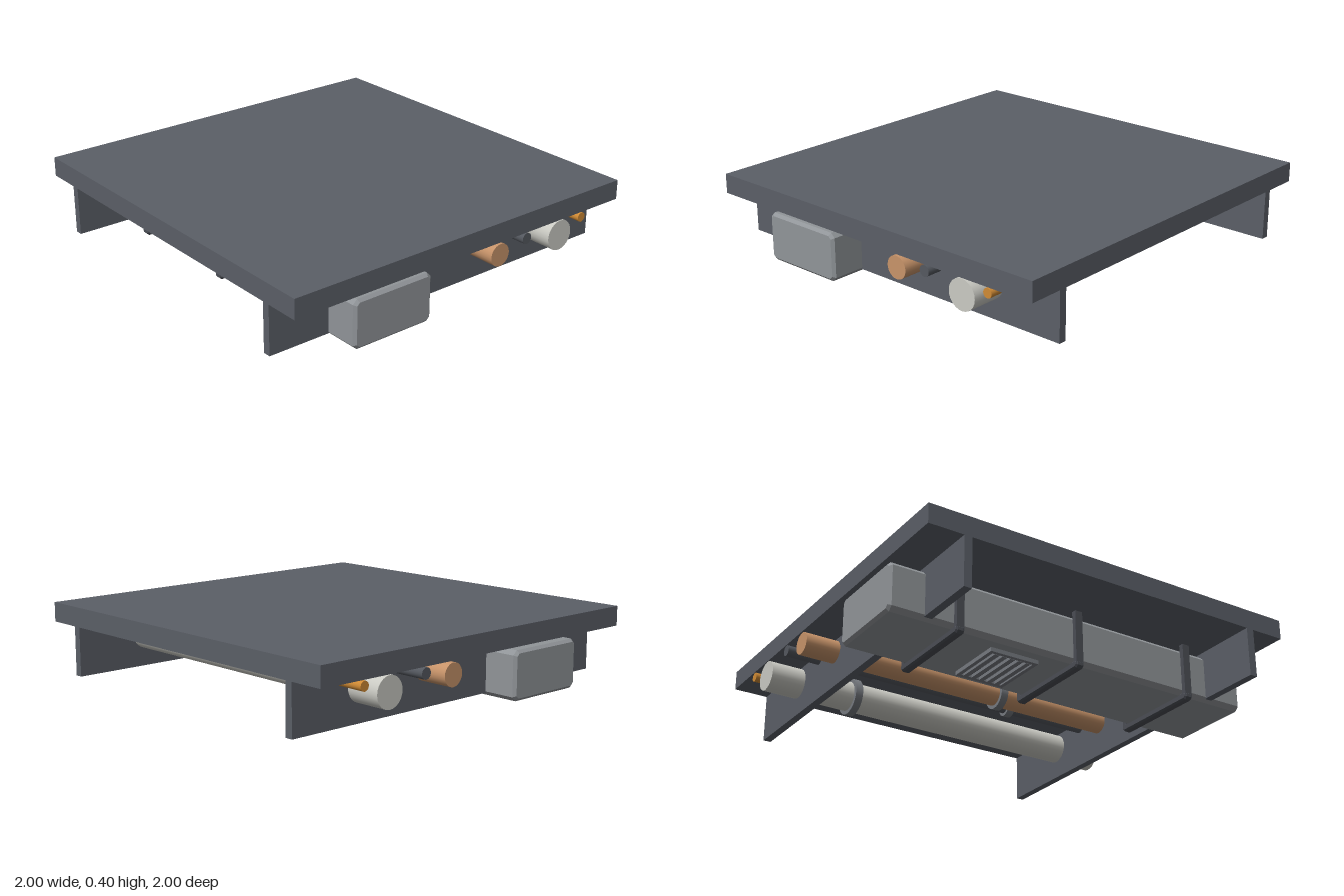
import * as THREE from 'three';

const mat = (name, color) => Object.assign(new THREE.MeshStandardMaterial({ color }), { name });

export function createModel() {
  const root = new THREE.Group();
  root.name = 'ceilingSection';
  const slabGrey = mat('slabGrey', 0x5b5f67);
  const ductGrey = mat('ductGrey', 0x919599);
  const strapDark = mat('strapDark', 0x4b4e55);
  const clampGrey = mat('clampGrey', 0x777b81);
  const conduitGrey = mat('conduitGrey', 0x555960);
  const paleWhite = mat('paleWhite', 0xcbcbc4);
  const copper = mat('copper', 0xc8946a);
  const orange = mat('orange', 0xd08b35);

  const add = (name, geometry, material, x, y, z, parent = root) => {
    const mesh = new THREE.Mesh(geometry, material);
    mesh.name = name;
    mesh.position.set(x, y, z);
    parent.add(mesh);
    return mesh;
  };
  const box = (w, h, d) => new THREE.BoxGeometry(w, h, d);

  // Box with every edge chamfered by c, centred on the origin
  const chamferBox = (w, h, d, c) => {
    const a = w / 2 - c, b = h / 2 - c, k = c;
    const shape = new THREE.Shape([
      [-a + k, -b], [a - k, -b], [a, -b + k], [a, b - k],
      [a - k, b], [-a + k, b], [-a, b - k], [-a, -b + k],
    ].map(([x, y]) => new THREE.Vector2(x, y)));
    const g = new THREE.ExtrudeGeometry(shape, {
      depth: d - 2 * c, bevelEnabled: true, bevelThickness: c, bevelSize: c, bevelSegments: 1,
    });
    return g.translate(0, 0, -(d - 2 * c) / 2);
  };

  // Slab and the two beams below it
  add('slab', box(2, 0.1, 2), slabGrey, 0, 0.345, 0);
  for (const z of [0.8, -0.8]) add('beam', box(2, 0.25, 0.04), slabGrey, 0, 0.17, z);

  // Air duct
  const ductX = -0.45;
  add('duct', chamferBox(0.45, 0.245, 2, 0.014), ductGrey, ductX, 0.1525, 0);

  // U-shaped straps that hang the duct from the slab
  for (const z of [0.65, 0, -0.65]) {
    const strap = new THREE.Group();
    strap.name = 'ductStrap';
    strap.position.set(ductX, 0, z);
    root.add(strap);
    add('strapBar', chamferBox(0.5, 0.04, 0.045, 0.008), strapDark, 0, 0.02, 0, strap);
    for (const s of [-1, 1]) add('strapSide', box(0.025, 0.28, 0.04), strapDark, s * 0.235, 0.155, 0, strap);
  }

  // Vent grille under the duct
  const vent = new THREE.Group();
  vent.name = 'ventGrille';
  vent.position.set(ductX, 0, -0.3);
  root.add(vent);
  add('ventBack', box(0.3, 0.008, 0.25), strapDark, 0, 0.028, 0, vent);
  for (const s of [-1, 1]) {
    add('ventFrameEnd', box(0.31, 0.022, 0.02), clampGrey, 0, 0.021, s * 0.12, vent);
    add('ventFrameSide', box(0.02, 0.022, 0.22), clampGrey, s * 0.145, 0.021, 0, vent);
  }
  for (let i = -2; i <= 2; i++) add('ventSlat', box(0.27, 0.018, 0.024), clampGrey, 0, 0.017, i * 0.043, vent);

  // Pipes along z, each with a clamp ring: name, material, x, y, radius, clamp z, clamp radius
  const pipes = [
    ['copperPipe', copper, 0.2, 0.23, 0.057, 0.125, 0.075],
    ['conduit', conduitGrey, 0.375, 0.263, 0.028, 0.3, 0.043],
    ['drainPipe', paleWhite, 0.6, 0.215, 0.077, -0.52, 0.097],
    ['thinPipe', orange, 0.75, 0.267, 0.024, 0.09, 0.04],
  ];
  for (const [name, material, x, y, r, cz, cr] of pipes) {
    add(name, new THREE.CylinderGeometry(r, r, 2, 24).rotateX(Math.PI / 2), material, x, y, 0);
    add(name + 'Clamp', new THREE.CylinderGeometry(cr, cr, 0.04, 24).rotateX(Math.PI / 2), clampGrey, x, y, cz);
  }
  return root;
}
